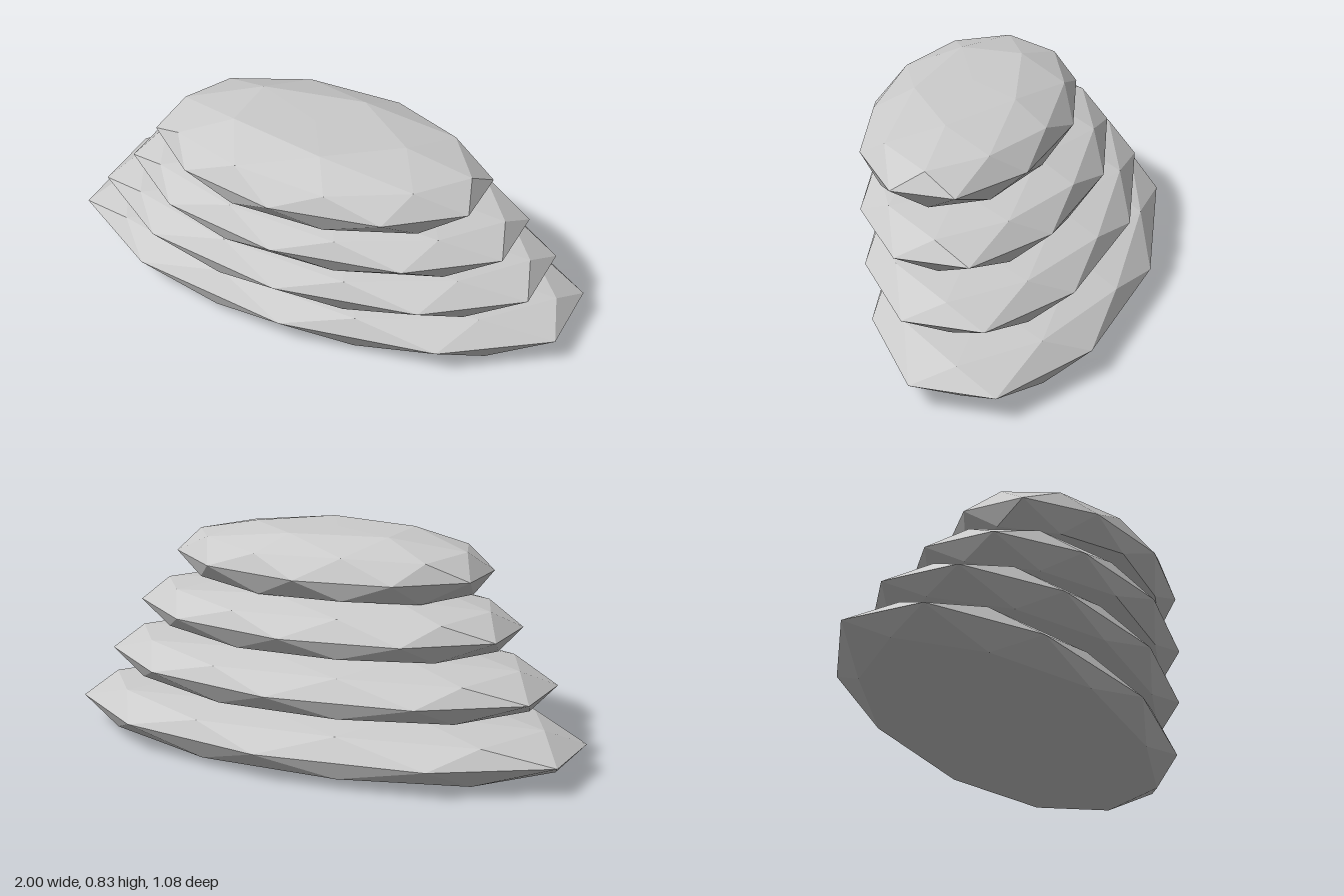
import * as THREE from 'three';

// One flattened, faceted stone: an icosphere with its pole up, stretched and levelled.
// left / right: reach towards -x / +x from the stone's axis
function makeStone({ name, y, z, left, right, depth, height, top, bottom }) {
  const geometry = new THREE.IcosahedronGeometry(1, 1);
  geometry.rotateX(-Math.atan((1 + Math.sqrt(5)) / 2));
  geometry.rotateY(Math.PI / 2);

  const p = geometry.attributes.position;
  for (let i = 0; i < p.count; i++) {
    const u = p.getX(i);
    // level off the top (slightly tilted) and the bottom
    const rise = Math.max(-bottom, Math.min(p.getY(i) * height, top - 0.02 * u));
    p.setXYZ(i, 0.04 + u * (u < 0 ? left : right), y + rise, z + p.getZ(i) * depth);
  }
  geometry.computeVertexNormals();

  const material = new THREE.MeshStandardMaterial({ color: 0xcccccc, flatShading: true });
  const mesh = new THREE.Mesh(geometry, material);
  mesh.name = name;
  return mesh;
}

export function createModel() {
  const group = new THREE.Group();
  group.name = 'stackedStones';

  // stones shrink and step forward towards the top
  const stones = [
    { name: 'bottomStone', y: 0.11, z: -0.03, left: 1.09, right: 1.01, depth: 0.505, height: 0.155, top: 0.112, bottom: 0.11 },
    { name: 'lowerMiddleStone', y: 0.303, z: 0.03, left: 0.945, right: 0.905, depth: 0.48, height: 0.15, top: 0.11, bottom: 0.098 },
    { name: 'upperMiddleStone', y: 0.495, z: 0.093, left: 0.775, right: 0.81, depth: 0.438, height: 0.15, top: 0.112, bottom: 0.093 },
    { name: 'topStone', y: 0.688, z: 0.157, left: 0.63, right: 0.685, depth: 0.383, height: 0.162, top: 0.136, bottom: 0.094 },
  ];
  for (const stone of stones) group.add(makeStone(stone));
  return group;
}
